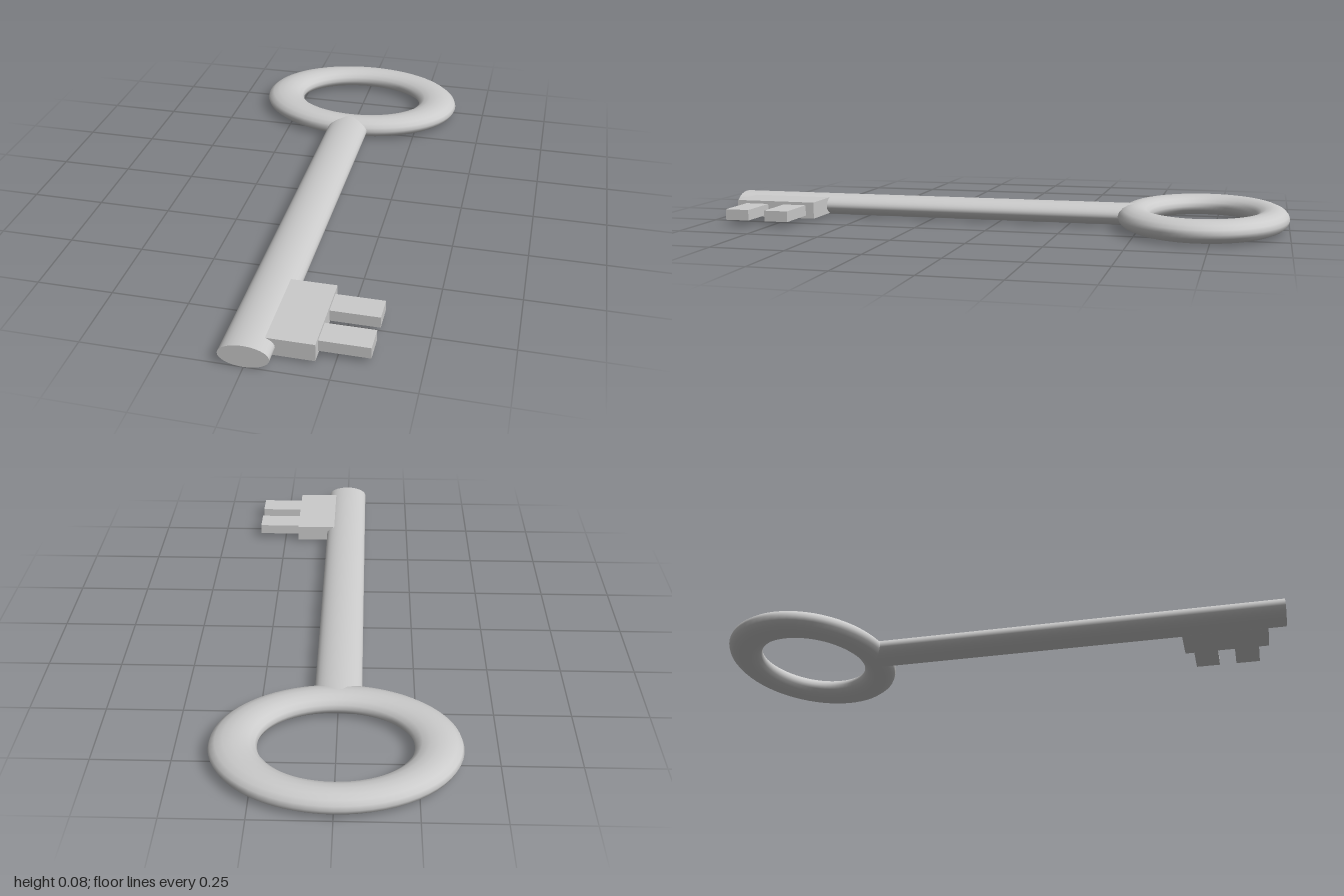
import * as THREE from 'three';

const MID_Y = 0.0375; // every part is centred on this height

export function createModel() {
  const key = new THREE.Group();
  key.name = 'key';
  const material = new THREE.MeshStandardMaterial({ color: 0xcccccc });

  const add = (name, geometry, x, z) => {
    const mesh = new THREE.Mesh(geometry, material);
    mesh.name = name;
    mesh.position.set(x, MID_Y, z);
    key.add(mesh);
  };

  // Box given by its x and z extents and its height
  const addBlock = (name, x0, x1, z0, z1, height) =>
    add(name, new THREE.BoxGeometry(x1 - x0, height, z1 - z0), (x0 + x1) / 2, (z0 + z1) / 2);

  // Oval ring handle: a torus laid flat and squashed
  const bow = new THREE.TorusGeometry(0.315, 0.075, 16, 64);
  bow.rotateX(Math.PI / 2).scale(1, 0.5, 0.744);
  add('bow', bow, 0, -0.71);

  // Flattened round shaft running from the ring to the tip
  const shaftBack = -0.476, shaftFront = 1;
  const shaft = new THREE.CylinderGeometry(0.077, 0.077, shaftFront - shaftBack, 32);
  shaft.rotateX(Math.PI / 2).scale(1, 0.0375 / 0.077, 1);
  add('shaft', shaft, 0, (shaftFront + shaftBack) / 2);

  // Bit plate with its two teeth
  addBlock('bitPlate', 0.04, 0.195, 0.645, 0.94, 0.058);
  for (const z of [0.718, 0.863]) {
    addBlock('tooth', 0.18, 0.35, z - 0.0425, z + 0.0425, 0.037);
  }

  return key;
}
